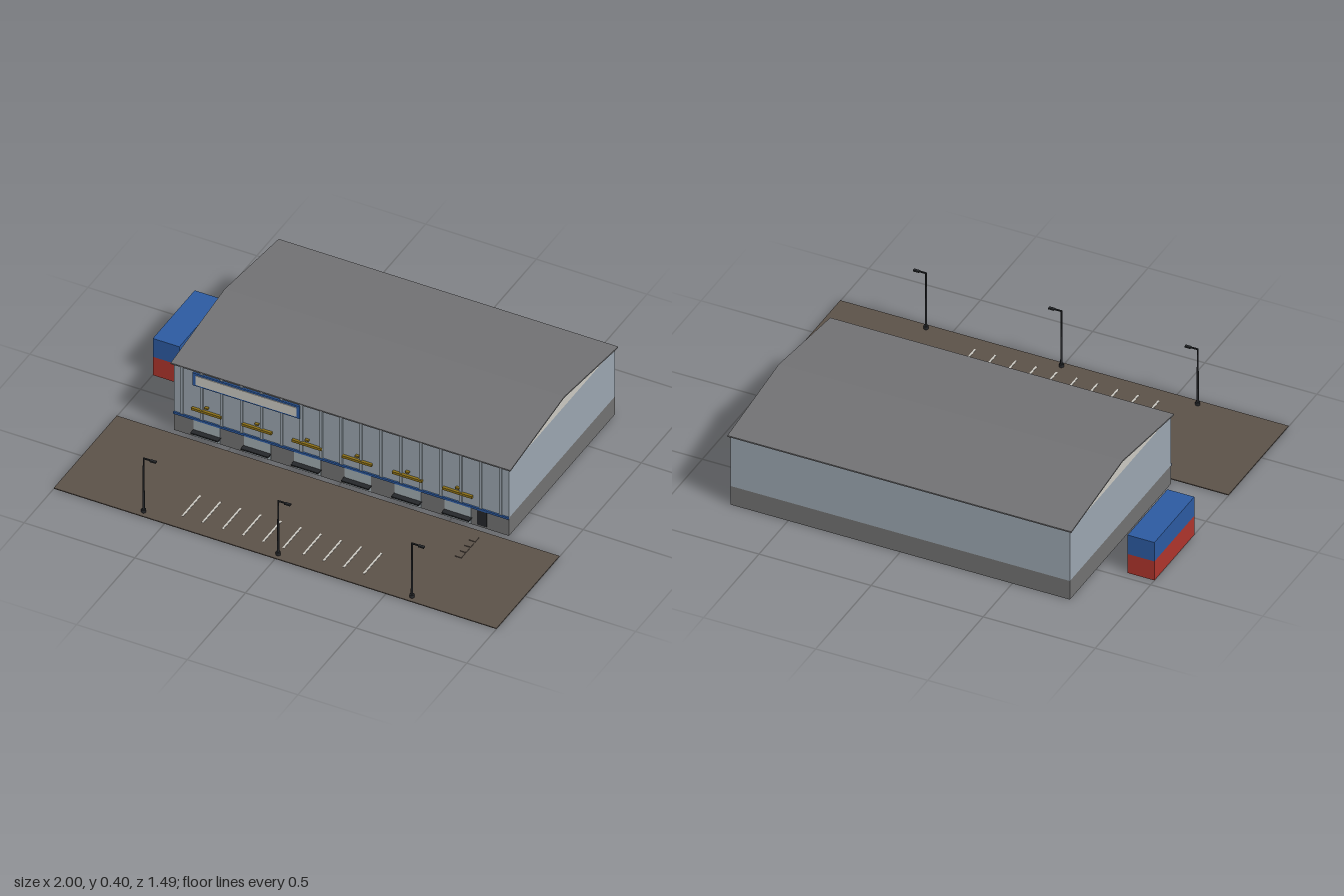
import * as THREE from 'three';

const COLORS = {
  wallGrey: 0x9aa5af, baseGrey: 0x717171, roofGrey: 0x717173, cream: 0xcac8c1, yardBrown: 0x5b5148,
  signYellow: 0x8c7018, nearBlack: 0x25272a, blue: 0x2c5aa0, red: 0xad342c, doorGrey: 0xa1abb0,
};

export function createModel() {
  const root = new THREE.Group();
  root.name = 'warehouse';
  const mats = {};
  for (const [name, color] of Object.entries(COLORS)) {
    mats[name] = new THREE.MeshStandardMaterial({ color });
    mats[name].name = name;
  }

  const add = (name, geo, mat, parent = root) => {
    const mesh = new THREE.Mesh(geo, mats[mat]);
    mesh.name = name;
    parent.add(mesh);
    return mesh;
  };
  // Box given by its min and max on each axis
  const box = (name, mat, [x0, x1], [y0, y1], [z0, z1], parent) => {
    const geo = new THREE.BoxGeometry(x1 - x0, y1 - y0, z1 - z0);
    geo.translate((x0 + x1) / 2, (y0 + y1) / 2, (z0 + z1) / 2);
    return add(name, geo, mat, parent);
  };
  // Profile of [z, y] points extruded along x, centred
  const prism = (name, mat, points, width) => {
    const shape = new THREE.Shape(points.map(([z, y]) => new THREE.Vector2(-z, y)));
    const geo = new THREE.ExtrudeGeometry(shape, { depth: width, bevelEnabled: false });
    geo.translate(0, 0, -width / 2);
    geo.rotateY(Math.PI / 2);
    return add(name, geo, mat);
  };

  const W = 0.757, FRONT = 0.175, BACK = -0.737, RIDGE = -0.281;

  // Building shell
  box('wallBase', 'baseGrey', [-W, W], [0, 0.09], [BACK, FRONT]);
  box('upperWall', 'wallGrey', [-W, W], [0.09, 0.332], [BACK, FRONT]);
  prism('gable', 'cream', [[FRONT, 0.332], [RIDGE, 0.391], [BACK, 0.332]], 2 * W);
  prism('roof', 'roofGrey', [
    [0.183, 0.331], [0.183, 0.337], [RIDGE, 0.397], [-0.745, 0.337], [-0.745, 0.331], [RIDGE, 0.391],
  ], 1.534);

  // Front cladding ribs and stripe
  for (let i = 0; i < 17; i++) {
    const x = -0.72 + i * 0.09;
    box('claddingRib', 'wallGrey', [x - 0.006, x + 0.006], [0.095, 0.331], [FRONT, FRONT + 0.005]);
  }
  box('frontStripe', 'blue', [-W, W], [0.085, 0.095], [FRONT, FRONT + 0.007]);

  // Loading docks
  for (let i = 0; i < 6; i++) {
    const dock = new THREE.Group();
    dock.name = 'loadingDock';
    dock.position.x = -0.606 + i * 0.2268;
    root.add(dock);
    box('dockDoor', 'doorGrey', [-0.06, 0.06], [0.004, 0.086], [FRONT, FRONT + 0.003], dock);
    box('dockPlate', 'nearBlack', [-0.062, 0.062], [0.029, 0.035], [FRONT, 0.203], dock);
    box('dockCanopy', 'signYellow', [-0.067, 0.067], [0.136, 0.147], [FRONT, 0.187], dock);
    box('dockMarker', 'signYellow', [-0.008, 0.008], [0.161, 0.168], [FRONT, 0.187], dock);
  }

  // Staff door
  box('staffDoor', 'nearBlack', [0.614, 0.657], [0.01, 0.086], [FRONT, FRONT + 0.004]);

  // Blank sign board
  box('signFrame', 'blue', [-0.668, -0.185], [0.26, 0.322], [FRONT, 0.183]);
  box('signPanel', 'cream', [-0.653, -0.198], [0.268, 0.313], [0.183, 0.186]);

  // Yard with parking lines and low pads
  box('yard', 'yardBrown', [-1, 1], [0, 0.004], [0.203, 0.745]);
  for (let i = 0; i < 10; i++) {
    const x = -0.457 + i * 0.091;
    box('parkingLine', 'cream', [x - 0.004, x + 0.004], [0.004, 0.0055], [0.518, 0.672]);
  }
  for (let i = 0; i < 4; i++) {
    const z = 0.25 + i * 0.04;
    box('yardPad', 'yardBrown', [0.632, 0.66], [0.004, 0.0075], [z, z + 0.03]);
  }

  // Yard lamps
  for (const x of [-0.608, 0, 0.604]) {
    const lamp = new THREE.Group();
    lamp.name = 'yardLamp';
    lamp.position.set(x, 0, 0.718);
    root.add(lamp);
    add('lampFoot', new THREE.CylinderGeometry(0.01, 0.01, 0.014, 12), 'nearBlack', lamp).position.y = 0.011;
    add('lampPole', new THREE.CylinderGeometry(0.0035, 0.005, 0.27, 10), 'nearBlack', lamp).position.y = 0.139;
    box('lampArm', 'nearBlack', [0, 0.035], [0.27, 0.275], [-0.003, 0.003], lamp);
    box('lampHead', 'nearBlack', [0.03, 0.056], [0.268, 0.275], [-0.006, 0.006], lamp);
  }

  // Stacked containers
  box('lowerContainer', 'red', [-1, -0.88], [0, 0.092], [-0.466, -0.106]);
  box('upperContainer', 'blue', [-1, -0.88], [0.092, 0.184], [-0.466, -0.106]);

  return root;
}
